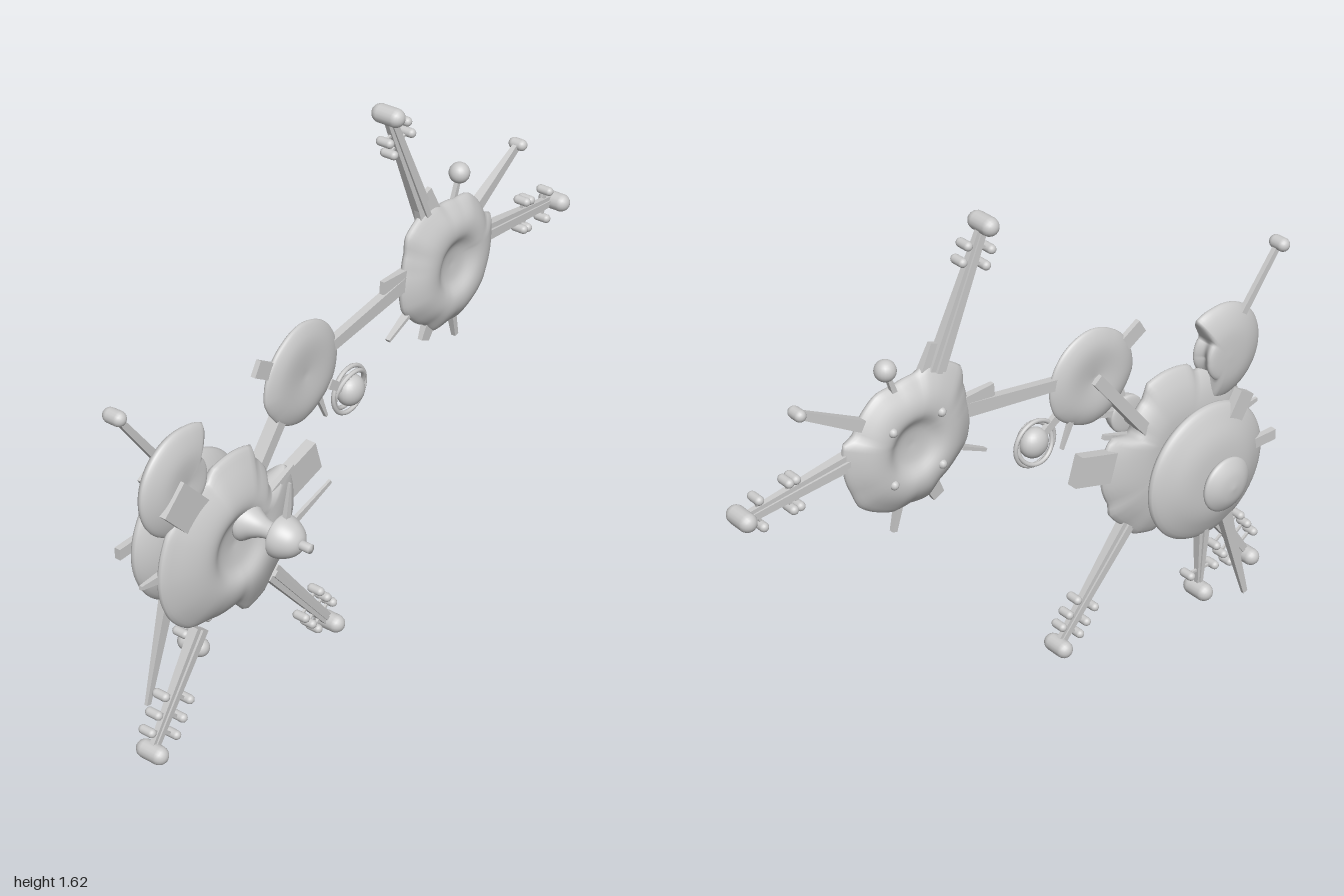
import * as THREE from 'three';
import { mergeVertices } from 'three/addons/utils/BufferGeometryUtils.js';

const mat = new THREE.MeshStandardMaterial({ color: 0xcccccc, side: THREE.DoubleSide });
const V2 = (p) => new THREE.Vector2(p[0], p[1]);

function add(parent, name, geometry, x = 0, y = 0, z = 0) {
  const m = new THREE.Mesh(geometry, mat);
  m.name = name;
  m.position.set(x, y, z);
  parent.add(m);
  return m;
}

// Radius factor at an angle, interpolated from [degrees, factor] pairs
function rimAt(rim, deg) {
  for (let i = 0; i < rim.length; i++) {
    const a = rim[i], b = rim[(i + 1) % rim.length];
    const end = b[0] + (i === rim.length - 1 ? 360 : 0);
    const d = deg < rim[0][0] ? deg + 360 : deg;
    if (d >= a[0] && d <= end) return a[1] + (b[1] - a[1]) * (d - a[0]) / (end - a[0]);
  }
  return 1;
}

// Lathe about the z axis; profile is [radius, z] from back to front, rim makes the outline ragged
function turned(profile, R = 1, rim = null, smooth = true) {
  const curve = new THREE.SplineCurve(profile.map(V2));
  const pts = smooth ? curve.getPoints(profile.length * 4) : profile.map(V2);
  let g = new THREE.LatheGeometry(pts.map(p => new THREE.Vector2(Math.max(p.x, 0) * R, p.y)), 96);
  g.rotateX(Math.PI / 2);
  if (rim) {
    const p = g.attributes.position;
    for (let i = 0; i < p.count; i++) {
      const x = p.getX(i), y = p.getY(i), r = Math.hypot(x, y) / R;
      const deg = (Math.atan2(y, x) * 180 / Math.PI + 360) % 360;
      const k = 1 + (rimAt(rim, deg) - 1) * Math.min(1, r * r);
      p.setXY(i, x * k, y * k);
    }
  }
  g.deleteAttribute('uv');
  g.deleteAttribute('normal');
  g = mergeVertices(g, 1e-5);
  g.computeVertexNormals();
  return g;
}

// Flat tapering bar between two points in a plane of constant z
function strut(parent, name, a, b, z, w0, w1 = w0, d0 = 0.02, d1 = d0) {
  const dx = b[0] - a[0], dy = b[1] - a[1], len = Math.hypot(dx, dy);
  const g = new THREE.BoxGeometry(1, len, 1), p = g.attributes.position;
  for (let i = 0; i < p.count; i++) {
    const top = p.getY(i) > 0;
    p.setX(i, p.getX(i) * (top ? w1 : w0));
    p.setZ(i, p.getZ(i) * (top ? d1 : d0));
  }
  g.computeVertexNormals();
  const m = add(parent, name, g, (a[0] + b[0]) / 2, (a[1] + b[1]) / 2, z);
  m.rotation.z = Math.atan2(dy, dx) - Math.PI / 2;
  return m;
}

// Short roller lying along z
function roller(parent, name, x, y, z, r, length) {
  add(parent, name, new THREE.CapsuleGeometry(r, length, 6, 16).rotateX(Math.PI / 2), x, y, z);
}

// Leg with a foot roller and pairs of small rollers on cross pins
function leg(parent, name, a, b, z, { w0 = 0.055, w1 = 0.035, beads = [], offset = 0.05, foot = 0.028, span = 0.05, footZ = z } = {}) {
  const g = new THREE.Group();
  g.name = name;
  parent.add(g);
  strut(g, 'legBar', a, b, z, w0, w1, 0.03, 0.014);
  strut(g, 'legRib', a, b, z, w0 * 0.35, w1 * 0.35, 0.045, 0.022);
  roller(g, 'foot', b[0], b[1], footZ, foot, span);
  const dx = b[0] - a[0], dy = b[1] - a[1], len = Math.hypot(dx, dy);
  const nx = -dy / len * offset, ny = dx / len * offset;
  for (const t of beads) {
    const x = a[0] + dx * t, y = a[1] + dy * t;
    strut(g, 'crossPin', [x - nx, y - ny], [x + nx, y + ny], z, 0.008, 0.008, 0.008);
    for (const s of [-1, 1]) roller(g, 'sideRoller', x + s * nx, y + s * ny, z, 0.014, 0.03);
  }
}

export function createModel() {
  const root = new THREE.Group();
  root.name = 'linkedDiscs';

  // Large disc with dished face and torn rim
  const bigRim = [[0, 1], [15, 1], [26, 0.97], [29, 0.68], [38, 0.68], [45, 0.79], [62, 0.85], [66, 0.97], [80, 0.96],
    [104, 0.93], [107, 0.84], [125, 0.92], [150, 1], [180, 1], [205, 0.98], [228, 0.93], [245, 0.83], [275, 0.79],
    [283, 1], [300, 1.04], [312, 0.99], [330, 1.02], [337, 0.97], [350, 1]];
  add(root, 'largeDisc', turned([[0, -0.035], [0.3, -0.043], [0.55, -0.042], [0.8, -0.025], [1, 0.008], [0.85, 0.035],
    [0.6, 0.062], [0.42, 0.066], [0.25, 0.045], [0, 0.035]], 0.29, bigRim), -0.6, 0.58, 0);

  // Rear disc with hub and cap
  add(root, 'rearHub', turned([[0, -0.11], [0.07, -0.11], [0.09, -0.03], [0, -0.03]], 1, null, false), -0.595, 0.565, 0);
  add(root, 'rearDisc', turned([[0, -0.205], [0.45, -0.2], [0.75, -0.18], [1, -0.145], [0.78, -0.105], [0.45, -0.085],
    [0, -0.08]], 0.23), -0.595, 0.565, 0);
  add(root, 'rearCap', turned([[0, -0.272], [0.5, -0.265], [0.85, -0.25], [1, -0.235], [0.8, -0.217], [0.4, -0.205],
    [0, -0.195]], 0.09), -0.595, 0.56, 0);
  strut(root, 'rearTab', [-0.66, 0.68], [-0.73, 0.8], -0.16, 0.06, 0.06, 0.03);
  strut(root, 'rearTab', [-0.76, 0.6], [-0.86, 0.6], -0.165, 0.035, 0.035, 0.02);

  // Partial side disc with its boom
  const sideRim = [[0, 0.35], [48, 0.45], [53, 1.05], [80, 1], [130, 1], [180, 1], [230, 1], [285, 1], [300, 0.4]];
  add(root, 'sideDisc', turned([[0, -0.05], [0.5, -0.045], [0.85, -0.025], [1, 0], [0.85, 0.02], [0.5, 0.035],
    [0, 0.03]], 0.163, sideRim), -0.765, 0.855, -0.01);
  strut(root, 'sideBoom', [-0.84, 0.97], [-0.98, 1.16], -0.03, 0.024, 0.018, 0.016);
  roller(root, 'sideBoomTip', -0.98, 1.16, -0.033, 0.022, 0.028);

  // Plates around the large disc
  strut(root, 'sidePlate', [-0.74, 0.74], [-0.84, 0.85], 0.02, 0.11, 0.11, 0.035);
  strut(root, 'sidePlate', [-0.34, 0.615], [-0.2, 0.655], 0, 0.1, 0.1, 0.035);
  strut(root, 'rimFin', [-0.53, 0.63], [-0.34, 0.7], 0.035, 0.03, 0.015, 0.03, 0.012);
  strut(root, 'rimSpike', [-0.86, 0.6], [-0.95, 0.61], 0, 0.03, 0.012, 0.02, 0.01);

  // Front antenna
  const antenna = new THREE.Group();
  antenna.name = 'frontAntenna';
  antenna.position.set(-0.555, 0.635, 0);
  root.add(antenna);
  add(antenna, 'antennaCone', turned([[0, 0.035], [0.06, 0.04], [0.042, 0.075], [0.028, 0.11], [0.02, 0.16], [0, 0.16]]));
  add(antenna, 'antennaBowl', turned([[0, 0.155], [0.03, 0.155], [0.06, 0.16], [0.064, 0.172], [0.058, 0.195],
    [0.042, 0.222], [0.02, 0.238], [0, 0.24]]));
  add(antenna, 'antennaTip', turned([[0, 0.22], [0.014, 0.22], [0.014, 0.272], [0, 0.275]], 1, null, false));
  strut(antenna, 'antennaVane', [0.05, 0.02], [0.215, 0.068], 0.17, 0.022, 0.012, 0.012, 0.008);
  strut(antenna, 'antennaVane', [0.01, 0.05], [0.027, 0.165], 0.178, 0.022, 0.006, 0.016, 0.008);

  // Legs of the large and rear discs
  leg(root, 'lowerRightLeg', [-0.72, 0.34], [-0.935, 0.035], 0, { beads: [0.55, 0.7, 0.84], offset: 0.062 });
  leg(root, 'lowerLeftLeg', [-0.42, 0.37], [-0.15, 0.035], 0.012, { beads: [0.64, 0.76, 0.86], offset: 0.045 });
  leg(root, 'rearLeg', [-0.59, 0.38], [-0.585, 0.135], -0.145, { w0: 0.045, w1: 0.02, beads: [0.7], span: 0.05, foot: 0.029 });
  strut(root, 'rearSpike', [-0.67, 0.4], [-0.785, 0.035], -0.15, 0.045, 0.018, 0.03, 0.01);

  // Middle disc and connecting bars
  const midRim = [[0, 1], [90, 1], [120, 0.96], [160, 0.98], [190, 1.02], [215, 0.97], [270, 0.99], [300, 0.95], [330, 1]];
  add(root, 'middleDisc', turned([[0, -0.012], [0.5, -0.022], [0.8, -0.016], [1, 0.004], [0.8, 0.022], [0.5, 0.028],
    [0, 0.022]], 0.16, midRim), -0.26, 0.955, 0);
  strut(root, 'linkBar', [-0.5, 0.66], [-0.26, 0.955], -0.008, 0.036, 0.036, 0.04);
  strut(root, 'linkBar', [-0.26, 0.965], [0.24, 1.035], 0.005, 0.032, 0.045, 0.025);
  strut(root, 'middleTab', [-0.36, 1.005], [-0.45, 1.06], 0, 0.05, 0.05, 0.016);
  strut(root, 'middleSpike', [-0.18, 0.84], [-0.145, 0.755], 0, 0.02, 0.008, 0.012);

  // Ringed ball below the middle disc
  strut(root, 'ballArm', [-0.15, 0.87], [-0.055, 0.805], 0.015, 0.03, 0.022, 0.016);
  add(root, 'ringedBall', new THREE.SphereGeometry(0.048, 24, 16), -0.055, 0.805, 0.02).scale.z = 0.8;
  for (const [r, tilt] of [[0.073, 0], [0.064, 0.25]]) {
    add(root, 'ballRing', new THREE.TorusGeometry(r, 0.007, 8, 40), -0.055, 0.805, 0.015).rotation.x = tilt;
  }

  // Far disc, dished on both faces
  const farRim = [[0, 0.98], [20, 1.02], [24, 0.9], [45, 0.93], [62, 0.95], [78, 0.88], [100, 0.92], [107, 1.03],
    [120, 1.1], [140, 1.15], [150, 1.03], [165, 0.98], [200, 1], [215, 0.93], [238, 0.88], [252, 0.97], [270, 0.9],
    [285, 0.96], [300, 0.97], [320, 1], [335, 0.96]];
  add(root, 'farDisc', turned([[0, -0.015], [0.25, -0.022], [0.45, -0.045], [0.65, -0.043], [0.85, -0.022], [1, 0.006],
    [0.85, 0.035], [0.65, 0.055], [0.45, 0.055], [0.25, 0.032], [0, 0.025]], 0.225, farRim), 0.42, 1.01, 0);
  for (let i = 0; i < 4; i++) {
    const a = Math.PI / 4 + i * Math.PI / 2;
    add(root, 'rearStud', new THREE.SphereGeometry(0.014, 12, 8), 0.42 + 0.12 * Math.cos(a), 1.01 + 0.12 * Math.sin(a), -0.045);
  }

  // Legs, booms and tabs of the far disc
  leg(root, 'upperLeg', [0.32, 1.2], [0.143, 1.595], 0, { beads: [0.74, 0.85], offset: 0.045 });
  leg(root, 'outerLeg', [0.6, 1.03], [0.97, 0.985], 0.01, { beads: [0.54, 0.6, 0.87], offset: 0.045, footZ: 0.018 });
  strut(root, 'thinBoom', [0.58, 1.13], [0.785, 1.245], 0, 0.035, 0.024, 0.03, 0.014);
  roller(root, 'thinBoomTip', 0.787, 1.247, 0, 0.018, 0.025);
  strut(root, 'ballPost', [0.46, 1.17], [0.495, 1.27], -0.005, 0.018, 0.012, 0.014);
  add(root, 'postBall', new THREE.SphereGeometry(0.032, 20, 14), 0.495, 1.27, -0.005);
  const tabs = [[0.23, 1.05, 0.11, 1.06, 0.05], [0.35, 0.86, 0.315, 0.79, 0.05], [0.23, 0.915, 0.14, 0.87, 0.012],
    [0.45, 0.84, 0.475, 0.735, 0.02], [0.33, 1.2, 0.3, 1.28, 0.09]];
  for (const [x0, y0, x1, y1, w] of tabs) {
    strut(root, 'rimTab', [x0, y0], [x1, y1], 0.005, w, w * 0.8, 0.025, 0.015);
  }
  return root;
}
